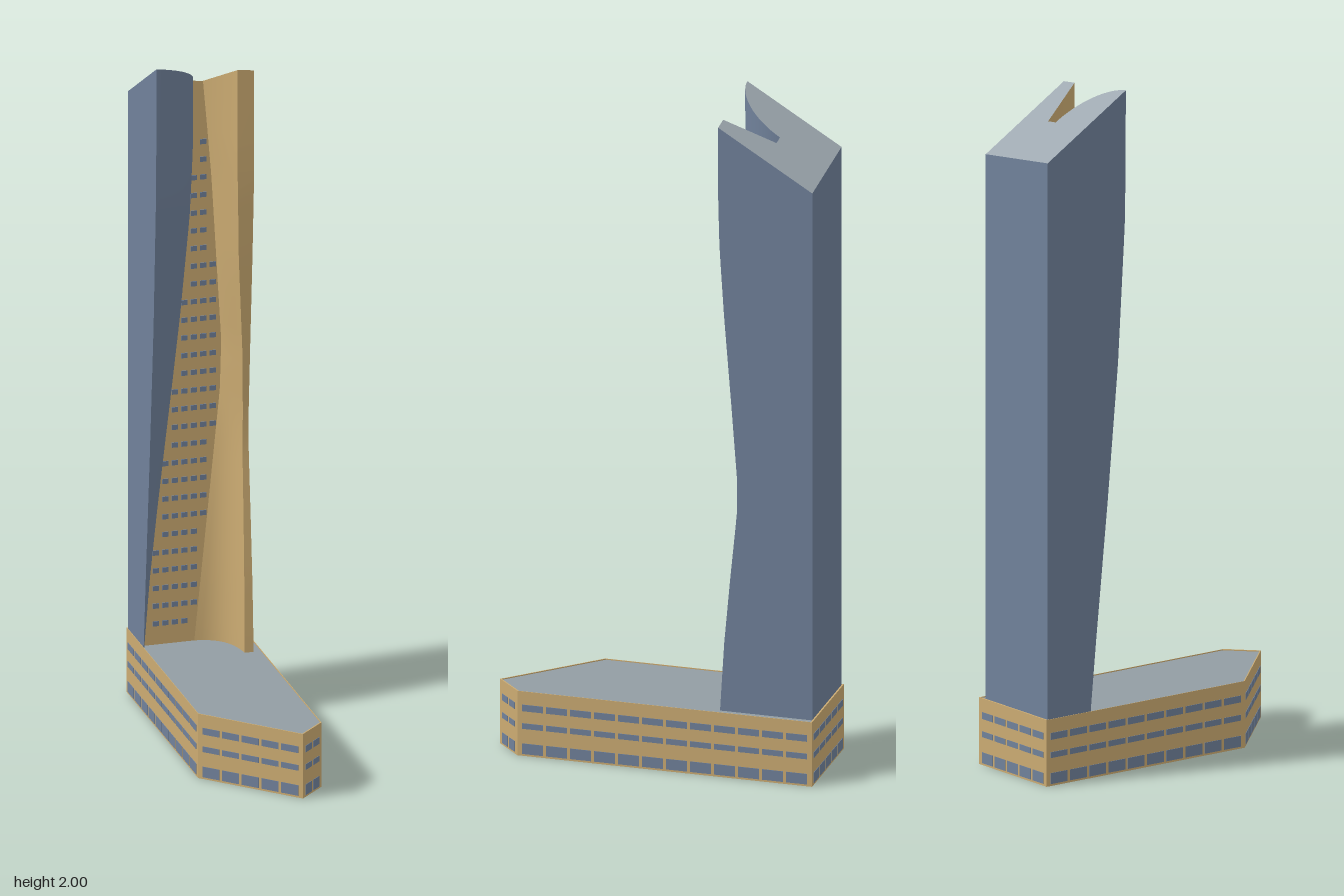
import * as THREE from 'three';

const mat = (name, color, side = THREE.FrontSide) => {
  const m = new THREE.MeshStandardMaterial({ color, side });
  m.name = name;
  return m;
};

// Piecewise linear lookup of a value by height
const byHeight = (keys) => (y) => {
  for (let i = 1; i < keys.length; i++) {
    const [y0, v0] = keys[i - 1], [y1, v1] = keys[i];
    if (y <= y1) return v0 + ((v1 - v0) * (y - y0)) / (y1 - y0);
  }
  return keys[keys.length - 1][1];
};

// Tower plan: a box with a notch in the front whose two wings change with height
const LEFT = -0.155, RIGHT = 0.135, BACK = -0.469, VALLEY = -0.33;
const curvedWingZ = byHeight([[0, -0.328], [0.2, -0.315], [0.4, -0.296], [0.8, -0.255], [1.2, -0.218], [1.6, -0.194], [1.8, -0.19], [2, -0.19]]);
const curvedWingX = byHeight([[0, -0.154], [0.2, -0.15], [0.4, -0.135], [0.6, -0.115], [0.8, -0.093], [1.0, -0.07], [1.2, -0.048], [1.5, -0.02], [1.7, -0.011], [2, -0.01]]);
const flatWingZ = byHeight([[0, -0.188], [0.2, -0.196], [0.4, -0.208], [0.6, -0.226], [0.8, -0.246], [0.9, -0.246], [1.1, -0.231], [1.4, -0.207], [1.6, -0.194], [1.75, -0.19], [2, -0.19]]);
const flatWingX = byHeight([[0, 0.106], [0.2, 0.108], [0.6, 0.114], [0.9, 0.118], [1.1, 0.112], [1.4, 0.094], [1.7, 0.085], [2, 0.085]]);
const valleyX = byHeight([[0, -0.01], [0.2, 0], [0.75, 0.055], [0.95, 0.075], [1.1, 0.079], [1.6, 0.05], [1.9, 0.025], [2, 0.025]]);
const topY = (x, z) => 2 + 0.607 * (z + 0.19) - 0.12 * (x - LEFT);

// Section pieces, each a list of [x, z] at a height
const curvedWing = (y) => {
  const pts = [];
  for (let i = 0; i <= 16; i++) {
    const a = (i / 16) * Math.PI / 2;
    pts.push([LEFT + (curvedWingX(y) - LEFT) * Math.sin(a), VALLEY + (curvedWingZ(y) - VALLEY) * Math.cos(a)]);
  }
  return pts;
};
const notchBack = (y) => [[curvedWingX(y), VALLEY], [valleyX(y), VALLEY]];
const cove = (y) => {
  // Curved at the foot, straight at the top
  const bend = Math.max(0, 1 - y / 1.3), pts = [];
  const x0 = valleyX(y), x1 = flatWingX(y), z1 = flatWingZ(y);
  for (let i = 0; i <= 10; i++) {
    const t = i / 10, k = t * (1 - t) * bend;
    pts.push([x0 + (x1 - x0) * (t + k), VALLEY + (z1 - VALLEY) * (t - k)]);
  }
  return pts;
};
const wingFront = (y) => [[flatWingX(y), flatWingZ(y)], [RIGHT, flatWingZ(y)]];
const rightSide = (y) => [[RIGHT, flatWingZ(y)], [RIGHT, BACK]];
const backSide = () => [[RIGHT, BACK], [LEFT, BACK]];
const leftSide = (y) => [[LEFT, BACK], [LEFT, curvedWingZ(y)]];

// Skin lofted up the tower and cut by the sloping top
function loft(section) {
  const pos = [], idx = [], rows = 36, n = section(0).length;
  for (let j = 0; j <= rows; j++) {
    const y = j === rows ? 2 : (j / (rows - 1)) * 1.76;
    for (const [x, z] of section(y)) pos.push(x, j === rows ? topY(x, z) : y, z);
  }
  for (let j = 0; j < rows; j++) for (let i = 0; i < n - 1; i++) {
    const a = j * n + i, b = a + 1, c = b + n, d = a + n;
    idx.push(a, b, c, a, c, d);
  }
  const g = new THREE.BufferGeometry();
  g.setAttribute('position', new THREE.Float32BufferAttribute(pos, 3));
  g.setIndex(idx);
  g.computeVertexNormals();
  return g;
}

const planShape = (pts) => new THREE.Shape(pts.map(([x, z]) => new THREE.Vector2(x, -z)));

export function createModel() {
  const model = new THREE.Group();
  const stone = mat('sandstone', 0xcbab72, THREE.DoubleSide);
  const glass = mat('blue glass', 0x70819a, THREE.DoubleSide);
  const roofGrey = mat('roof grey', 0x929da3, THREE.DoubleSide);
  const topGrey = mat('tower top grey', 0x9ea8b0, THREE.DoubleSide);
  const add = (name, geometry, material, parent = model) => {
    const m = new THREE.Mesh(geometry, material);
    m.name = name;
    parent.add(m);
    return m;
  };

  // Tower skins
  const tower = new THREE.Group();
  tower.name = 'tower';
  model.add(tower);
  add('curvedWing', loft(curvedWing), glass, tower);
  add('notchBack', loft(notchBack), stone, tower);
  add('notchCove', loft(cove), stone, tower);
  add('wingFront', loft(wingFront), stone, tower);
  add('rightSide', loft(rightSide), glass, tower);
  add('backSide', loft(backSide), glass, tower);
  add('leftSide', loft(leftSide), glass, tower);

  // Sloping top
  const outline = [...curvedWing(2), [valleyX(2), VALLEY], ...wingFront(2), [RIGHT, BACK], [LEFT, BACK]];
  const cap = new THREE.ShapeGeometry(planShape(outline)).rotateX(-Math.PI / 2);
  const p = cap.attributes.position;
  for (let i = 0; i < p.count; i++) p.setY(i, topY(p.getX(i), p.getZ(i)));
  cap.computeVertexNormals();
  add('towerTop', cap, topGrey, tower);

  // Small windows on the back of the notch
  const small = new THREE.BoxGeometry(0.018, 0.015, 0.004);
  for (let r = 0; r < 28; r++) {
    const y = 0.257 + r * 0.0538;
    for (let k = -6; k <= 2; k++) {
      const x = 0.025 + k * 0.028;
      if (x - 0.011 < curvedWingX(y) || x + 0.011 > valleyX(y)) continue;
      add('notchWindow', small, glass, tower).position.set(x, y, VALLEY + 0.001);
    }
  }

  // Podium: hollow walls, open below
  const plan = [[-0.158, -0.475], [-0.158, 0.232], [0.081, 0.472], [0.158, 0.398], [0.158, -0.475]];
  const inner = plan.map(([x, z]) => [x * 0.99, z * 0.99]);
  const wallShape = planShape(plan);
  wallShape.holes.push(planShape(inner));
  add('podiumWalls', new THREE.ExtrudeGeometry(wallShape, { depth: 0.196, bevelEnabled: false }).rotateX(-Math.PI / 2), stone);
  const roof = add('podiumRoof', new THREE.ShapeGeometry(planShape(inner)).rotateX(-Math.PI / 2), roofGrey);
  roof.position.y = 0.193;

  // Three rows of windows along each podium wall
  plan.forEach(([x0, z0], i) => {
    const [x1, z1] = plan[(i + 1) % plan.length];
    const length = Math.hypot(x1 - x0, z1 - z0), usable = length - 0.02;
    const count = Math.ceil(length / 0.074), pitch = usable / count;
    for (const [y, h] of [[0.022, 0.032], [0.091, 0.017], [0.146, 0.02]]) {
      const pane = new THREE.BoxGeometry(pitch - 0.009, h, 0.003);
      for (let k = 0; k < count; k++) {
        const t = (0.01 + (k + 0.5) * pitch) / length;
        const w = add('podiumWindow', pane, glass);
        w.position.set(x0 + (x1 - x0) * t, y, z0 + (z1 - z0) * t);
        w.rotation.y = -Math.atan2(z1 - z0, x1 - x0);
      }
    }
  });
  return model;
}
